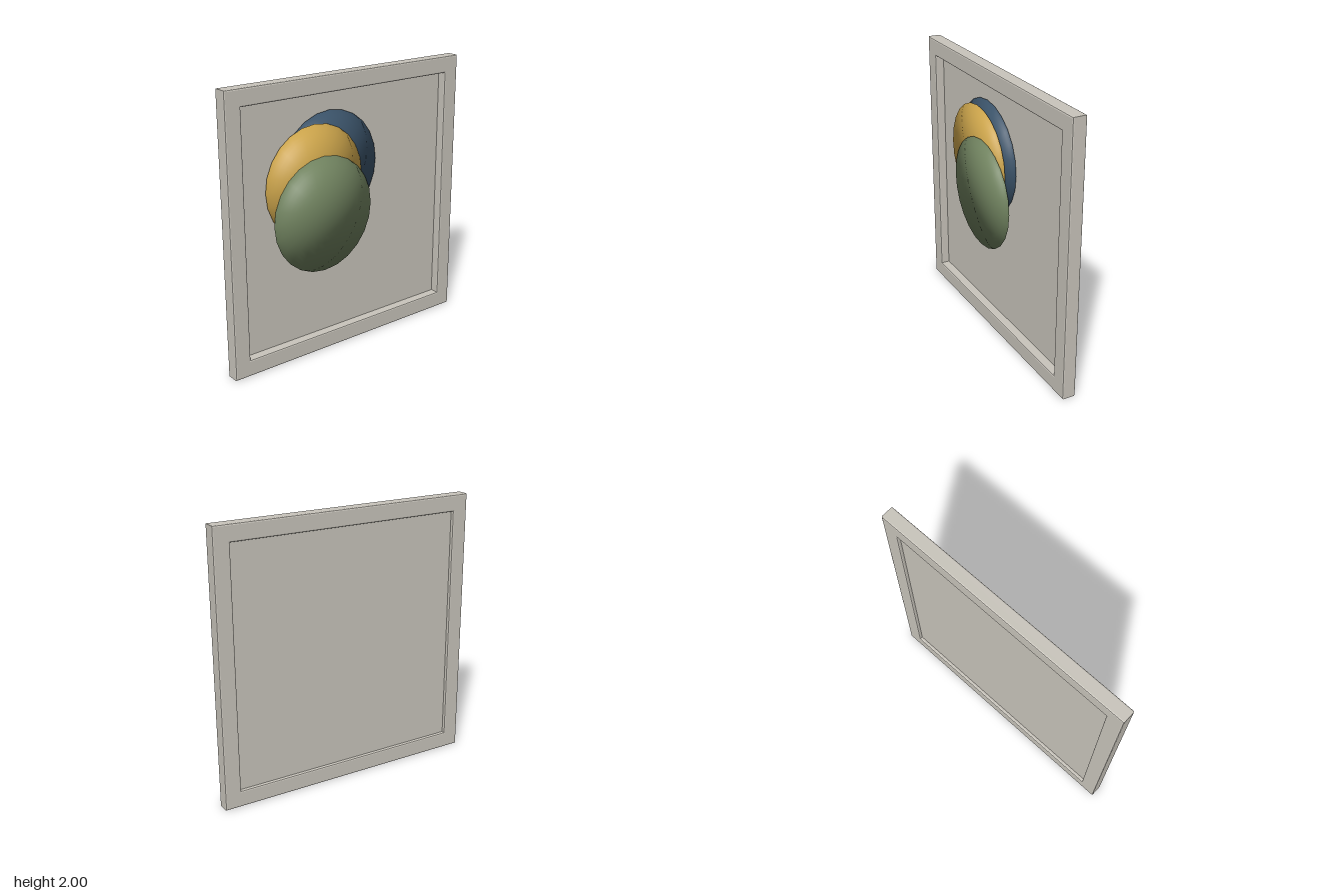
import * as THREE from 'three';

const material = (name, color) => {
  const m = new THREE.MeshStandardMaterial({ color });
  m.name = name;
  return m;
};

// Square path centred on the origin
function square(path, half) {
  path.moveTo(-half, -half);
  path.lineTo(half, -half);
  path.lineTo(half, half);
  path.lineTo(-half, half);
  path.closePath();
  return path;
}

// Pressed-flat ball that keeps its round shading
function flatBall(radius, thickness) {
  const geo = new THREE.SphereGeometry(radius, 24, 24);
  geo.rotateX(Math.PI / 2);
  const p = geo.attributes.position;
  for (let i = 0; i < p.count; i++) p.setZ(i, p.getZ(i) / radius * thickness / 2);
  return geo;
}

export function createModel() {
  const group = new THREE.Group();
  group.name = 'framedPicture';
  const stone = material('warm grey', 0xc9c5bc);

  const add = (name, geo, mat, x, y, z) => {
    const mesh = new THREE.Mesh(geo, mat);
    mesh.name = name;
    mesh.position.set(x, y, z);
    group.add(mesh);
  };

  // Bevelled square frame with an opening
  const shape = square(new THREE.Shape(), 0.99);
  shape.holes.push(square(new THREE.Path(), 0.89));
  const frame = new THREE.ExtrudeGeometry(shape, {
    depth: 0.08, bevelEnabled: true, bevelSize: 0.01, bevelThickness: 0.01, bevelSegments: 2,
  });
  add('frame', frame, stone, 0, 1, -0.04);

  // Thin panel set back inside the frame
  add('backPanel', new THREE.BoxGeometry(1.78, 1.78, 0.01), stone, 0, 1, -0.02);

  // Overlapping discs, back to front
  const discs = [
    ['blueDisc', 'slate blue', 0x3a5268, -0.155, 1.335, 0.0, 0.415],
    ['yellowDisc', 'ochre', 0xc9a24a, -0.285, 1.265, 0.01, 0.408],
    ['greenDisc', 'sage green', 0x70825f, -0.217, 1.02, 0.02, 0.42],
  ];
  for (const [name, tone, color, x, y, z, r] of discs) {
    add(name, flatBall(r, 0.006), material(tone, color), x, y, z);
  }
  return group;
}
